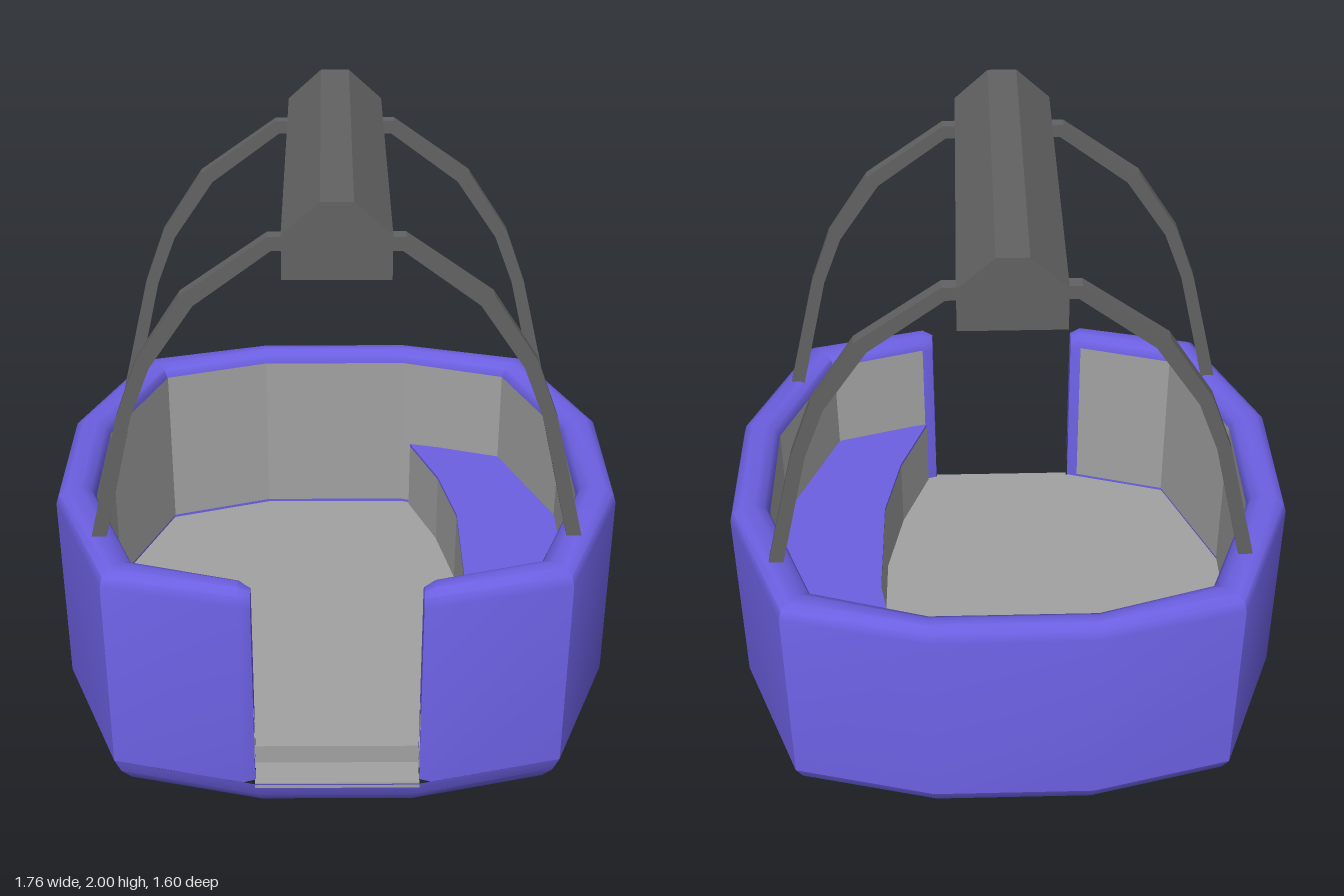
import * as THREE from 'three';
import { toCreasedNormals } from 'three/addons/utils/BufferGeometryUtils.js';

const purple = new THREE.MeshStandardMaterial({ color: 0x6c60e2 });
const dark = new THREE.MeshStandardMaterial({ color: 0x626262 });
const grey = new THREE.MeshStandardMaterial({ color: 0xa2a2a2 });

// Plan outlines [x, z], from the doorway's +x side round the back to its -x side
const mirrored = (half) => [...half, ...half.map(([x, z]) => [-x, z]).reverse()];
const outer = mirrored([[0.25, 0.8], [0.69, 0.69], [0.88, 0.23], [0.88, -0.23], [0.69, -0.69], [0.25, -0.8]]);
const inner = mirrored([[0.25, 0.705], [0.6, 0.6], [0.76, 0.2], [0.76, -0.2], [0.6, -0.6], [0.25, -0.71]]);

// Surface through a row of equal-length stations of [x, y, z] points
function loft(stations, crease = 0.75) {
  const n = stations[0].length, index = [];
  for (let i = 0; i < stations.length - 1; i++) {
    for (let j = 0; j < n - 1; j++) {
      const a = i * n + j, b = a + n;
      index.push(a, b, b + 1, a, b + 1, a + 1);
    }
  }
  const g = new THREE.BufferGeometry();
  g.setAttribute('position', new THREE.Float32BufferAttribute(stations.flat(2), 3));
  g.setIndex(index);
  return toCreasedNormals(g, crease);
}

// Upright slab with the given plan outline, between two heights
function slab(plan, bottom, top) {
  const shape = new THREE.Shape(plan.map(([x, z]) => new THREE.Vector2(x, z)));
  const g = new THREE.ExtrudeGeometry(shape, { depth: top - bottom, bevelEnabled: false });
  return g.rotateX(Math.PI / 2).translate(0, top, 0);
}

// Slab with the given front outline, between two depths
function frontSlab(points, back, front) {
  const shape = new THREE.Shape(points.map(([x, y]) => new THREE.Vector2(x, y)));
  return new THREE.ExtrudeGeometry(shape, { depth: front - back, bevelEnabled: false }).translate(0, 0, back);
}

// Wall section at one plan point; t runs from outer face (0) to inner face (1)
const section = (o, i, profile) => profile.map(([t, y]) => [o[0] + (i[0] - o[0]) * t, y, o[1] + (i[1] - o[1]) * t]);

export function createModel() {
  const model = new THREE.Group();
  const add = (name, geometry, material) => {
    const mesh = new THREE.Mesh(geometry, material);
    mesh.name = name;
    model.add(mesh);
  };

  // Tub base: rounded underside
  const rings = [[0, 0, 0, 0.06], [0, 0.73, 0.675, 0.06], [0.1, 0.935, 0.925, 0.012], [0.145, 0.975, 0.97, 0.005], [0.2, 1, 1, 0]];
  const base = [...outer, outer[0]].map(([x, z]) => rings.map(([y, sx, sz, cz]) => [x * sx, y, z * sz + cz]));
  add('tubBase', loft(base), purple);

  // Tub wall with rounded rim and softened door jambs
  const wall = [[0, 0.2], [0, 0.85], [0.08, 0.882], [0.3, 0.9], [0.65, 0.9], [0.9, 0.885], [1, 0.86], [1, 0.2]];
  const jamb = wall.map(([t, y]) => [0.22 + t * 0.7, y > 0.5 ? y - 0.018 : y]);
  const jambEnd = (side) => {
    const end = section([side * 0.25, 0.8], [side * 0.25, 0.705], jamb);
    const centre = [side * 0.25, 0.5, 0.75];
    return [end.map(() => centre), end];
  };
  const stations = outer.map((o, k) => section(o, inner[k], wall));
  stations[0] = section([0.285, 0.791], [0.285, 0.695], wall);
  stations[11] = section([-0.285, 0.791], [-0.285, 0.695], wall);
  add('tubWall', loft([...jambEnd(1), ...stations, ...jambEnd(-1).reverse()]), purple);

  // Inner wall lining
  const lining = outer.map((o, k) => section(o, inner[k], [[1.03, 0.86], [1.03, 0.28]]));
  lining[0] = section([0.285, 0.791], [0.285, 0.695], [[1.03, 0.86], [1.03, 0.28]]);
  lining[11] = section([-0.285, 0.791], [-0.285, 0.695], [[1.03, 0.86], [1.03, 0.28]]);
  add('wallLining', loft(lining, 0.3), grey);

  // Raised floor and door sill
  add('floor', slab(inner, 0.18, 0.268), grey);
  add('doorSill', new THREE.BoxGeometry(0.5, 0.02, 0.1).translate(0, 0.193, 0.748), grey);

  // Bench along the +x side
  const benchPlan = [
    [0.28, 0.69], [0.37, 0.45], [0.42, 0.2], [0.42, -0.2], [0.37, -0.45], [0.28, -0.69],
    [0.61, -0.61], [0.77, -0.2], [0.77, 0.2], [0.61, 0.61],
  ];
  add('benchFront', slab(benchPlan, 0.25, 0.52), grey);
  add('benchSeat', slab(benchPlan, 0.52, 0.53), purple);

  // Hanger beam
  const beam = [[-0.15, 1.775], [0.15, 1.775], [0.15, 1.905], [0.045, 2], [-0.045, 2], [-0.15, 1.905]];
  add('hangerBeam', frontSlab(beam, -0.56, 0.575), dark);

  // Four bent arms from rim to beam
  const arm = [
    [0.738, 0.88], [0.637, 1.3], [0.57, 1.485], [0.437, 1.69], [0.19, 1.866], [0.13, 1.866],
    [0.13, 1.825], [0.18, 1.825], [0.4, 1.66], [0.532, 1.465], [0.595, 1.3], [0.693, 0.88],
  ];
  for (const side of [1, -1]) {
    for (const z of [0.475, -0.467]) {
      const name = (z > 0 ? 'front' : 'back') + (side > 0 ? 'Left' : 'Right') + 'Arm';
      add(name, frontSlab(arm.map(([x, y]) => [x * side, y]), z - 0.02, z + 0.02), dark);
    }
  }
  return model;
}
